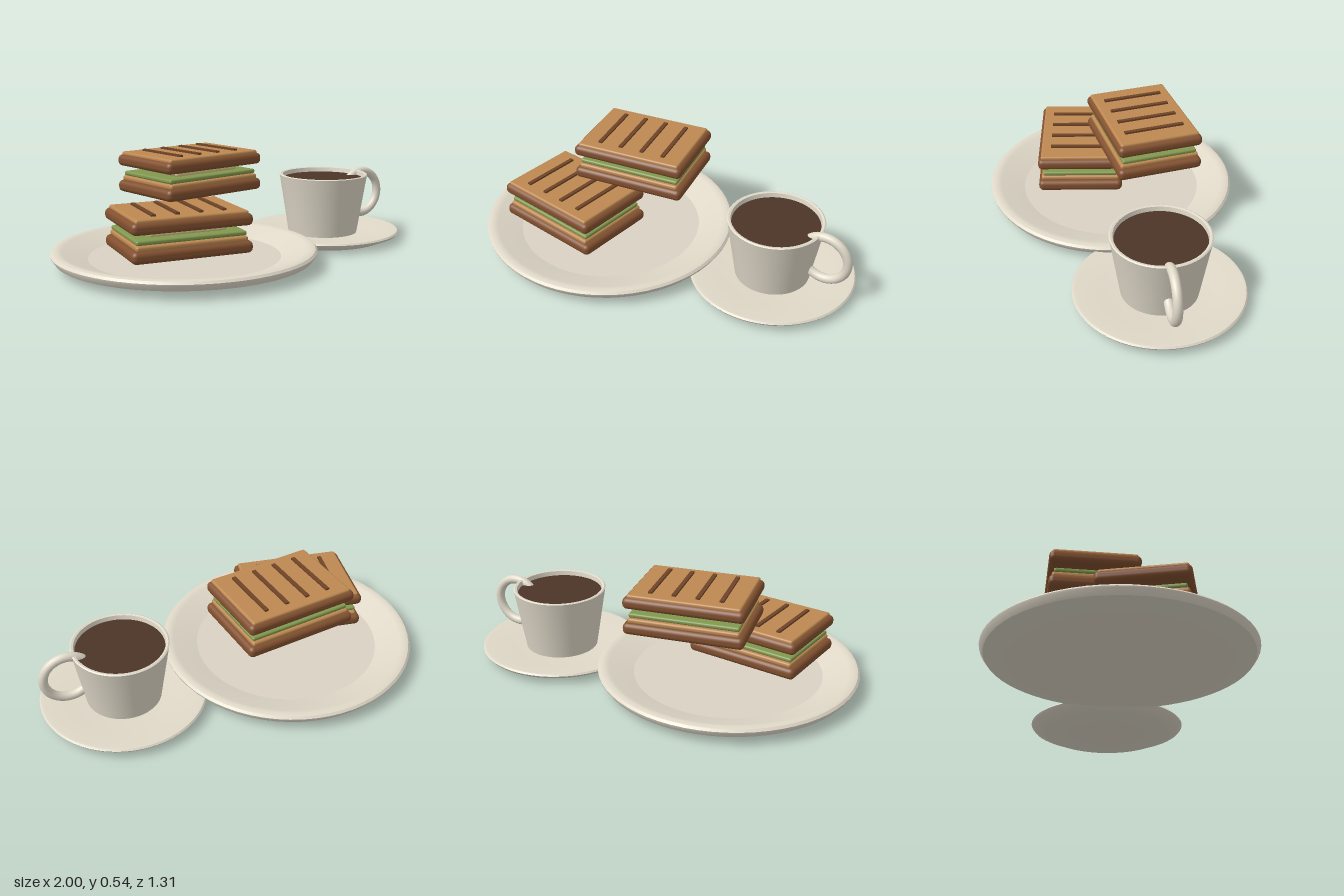
import * as THREE from 'three';
import { toCreasedNormals } from 'three/addons/utils/BufferGeometryUtils.js';
import { RoundedBoxGeometry } from 'three/addons/geometries/RoundedBoxGeometry.js';

function material(name, color) {
  const m = new THREE.MeshStandardMaterial({ color });
  m.name = name;
  return m;
}

const china = material('china', 0xe0d9c9);
const wellChina = material('plate well china', 0xdbd2c5);
const coffeeBrown = material('coffee brown', 0x4c3527);
const crustBrown = material('crust brown', 0x82502f);
const toastTan = material('toast tan', 0xbd8851);
const grillBrown = material('grill brown', 0x6e4428);
const lettuceGreen = material('lettuce green', 0x82984f);
const cheeseYellow = material('cheese yellow', 0xe0cc8c);

function mesh(name, geometry, mat, x = 0, y = 0, z = 0) {
  const m = new THREE.Mesh(geometry, mat);
  m.name = name;
  m.position.set(x, y, z);
  return m;
}

// Turned part from a profile of [radius, height], running from the base outwards and up
function turned(profile, segments = 64) {
  const points = profile.map(([r, y]) => new THREE.Vector2(r, y));
  return toCreasedNormals(new THREE.LatheGeometry(points, segments), 0.55);
}

function slab(name, w, d, y0, y1, mat) {
  const h = y1 - y0;
  const geometry = new RoundedBoxGeometry(w, h, d, 3, Math.min(0.024, h * 0.42));
  return mesh(name, geometry, mat, 0, (y0 + y1) / 2, 0);
}

function createSandwich(name, x, y, z, turn) {
  const g = new THREE.Group();
  g.name = name;
  // Stacked layers, bottom to top
  g.add(
    slab('bottomCrust', 0.59, 0.44, 0, 0.058, crustBrown),
    slab('bottomToast', 0.545, 0.41, 0.054, 0.081, toastTan),
    slab('lettuce', 0.538, 0.39, 0.082, 0.104, lettuceGreen),
    slab('cheese', 0.38, 0.285, 0.104, 0.129, cheeseYellow),
    slab('topCrust', 0.59, 0.44, 0.131, 0.188, crustBrown),
    slab('topToast', 0.55, 0.41, 0.178, 0.202, toastTan)
  );
  // Grill marks
  for (let i = 0; i < 4; i++) {
    const mark = new THREE.BoxGeometry(0.02, 0.009, 0.31);
    g.add(mesh('grillMark', mark, grillBrown, (i - 1.5) * 0.115, 0.2065, 0));
  }
  g.position.set(x, y, z);
  g.rotation.y = turn;
  return g;
}

function createPlate() {
  const g = new THREE.Group();
  g.name = 'plate';
  g.add(mesh('plateRim', turned([
    [0, 0], [0.48, 0], [0.635, 0.04], [0.653, 0.066], [0.655, 0.074],
    [0.645, 0.085], [0.625, 0.09], [0.6, 0.083], [0.475, 0.04]
  ]), china));
  const well = mesh('plateWell', new THREE.CircleGeometry(0.475, 64), wellChina, 0, 0.04, 0);
  well.rotation.x = -Math.PI / 2;
  g.add(well);
  g.position.x = -0.345;
  return g;
}

function createCupAndSaucer() {
  const g = new THREE.Group();
  g.name = 'cupAndSaucer';
  g.add(mesh('saucer', turned([
    [0, 0], [0.33, 0], [0.408, 0.033], [0.417, 0.045],
    [0.41, 0.053], [0.395, 0.054], [0.28, 0.035], [0, 0.035]
  ]), china));
  // Open cup with a thick lip
  g.add(mesh('cup', turned([
    [0, 0.035], [0.188, 0.035], [0.238, 0.345], [0.24, 0.354],
    [0.233, 0.358], [0.222, 0.355], [0.175, 0.06], [0, 0.06]
  ]), china));
  const coffee = mesh('coffee', new THREE.CircleGeometry(0.219, 64), coffeeBrown, 0, 0.332, 0);
  coffee.rotation.x = -Math.PI / 2;
  g.add(coffee);
  // Ring handle, set into the cup wall
  g.add(mesh('handle', new THREE.TorusGeometry(0.12, 0.023, 16, 48), china, 0.267, 0.228, 0));
  g.position.set(0.581, 0, -0.092);
  return g;
}

export function createModel() {
  const model = new THREE.Group();
  model.name = 'sandwichesAndCoffee';
  model.add(
    createPlate(),
    createSandwich('lowerSandwich', -0.463, 0.116, 0.147, -0.145),
    createSandwich('upperSandwich', -0.226, 0.333, -0.152, 0.15),
    createCupAndSaucer()
  );
  return model;
}
